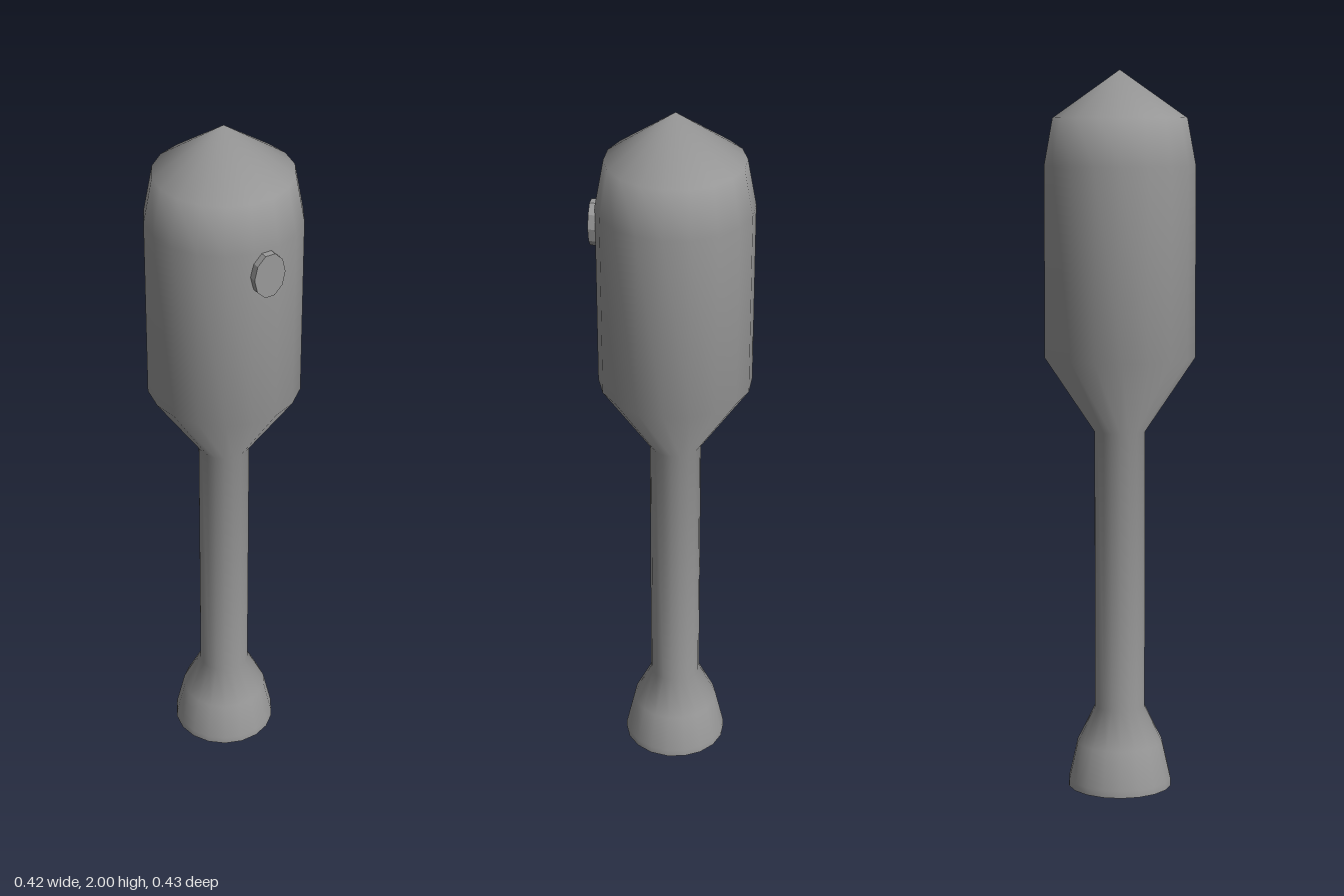
import * as THREE from 'three';
import { mergeVertices } from 'three/addons/utils/BufferGeometryUtils.js';

const SIDES = 18;
const COLOR = 0x999999;
const material = new THREE.MeshStandardMaterial({ color: COLOR });
const facetedMaterial = new THREE.MeshStandardMaterial({ color: COLOR, flatShading: true });

// Surface of revolution whose first corner lies on the x axis
function lathe(name, points) {
  const profile = points.map(([r, y]) => new THREE.Vector2(r, y));
  const mesh = new THREE.Mesh(new THREE.LatheGeometry(profile, SIDES, Math.PI / 2), material);
  mesh.name = name;
  return mesh;
}

// Joins seam and tip corners so the shading runs smoothly over them
function smooth(mesh) {
  const bare = mesh.geometry.deleteAttribute('normal').deleteAttribute('uv');
  mesh.geometry = mergeVertices(bare);
  mesh.geometry.computeVertexNormals();
  return mesh;
}

export function createModel() {
  const group = new THREE.Group();
  group.name = 'rocket';

  const body = new THREE.Group();
  body.name = 'body';
  body.position.z = -0.01;
  group.add(body);

  // Hull: flared foot, slim shaft, wide capsule and pointed nose
  body.add(smooth(lathe('hull', [
    [0.146, 0], [0.145, 0.02], [0.121, 0.125], [0.071, 0.227], [0.071, 1.01],
    [0.21, 1.218], [0.21, 1.74], [0.186, 1.87], [0, 2],
  ])));

  // Shallow recess under the foot
  body.add(lathe('footWall', [[0.142, 0.018], [0.142, 0]]));
  body.add(lathe('footRim', [[0.142, 0], [0.146, 0]]));
  body.add(lathe('footPlate', [[0, 0.018], [0.142, 0.018]]));

  // Small stub in the middle of the recess
  const stub = new THREE.Mesh(new THREE.CylinderGeometry(0.027, 0.027, 0.01, 10), facetedMaterial);
  stub.name = 'footStub';
  stub.position.y = 0.014;
  body.add(stub);

  // Faceted oval window on the front of the capsule
  const oval = new THREE.CylinderGeometry(0.046, 0.046, 0.02, 10);
  oval.rotateY(Math.PI / 2).rotateX(Math.PI / 2).scale(1, 1.4, 1);
  const porthole = new THREE.Mesh(oval, facetedMaterial);
  porthole.name = 'window';
  porthole.position.set(0, 1.675, 0.205);
  group.add(porthole);

  return group;
}
